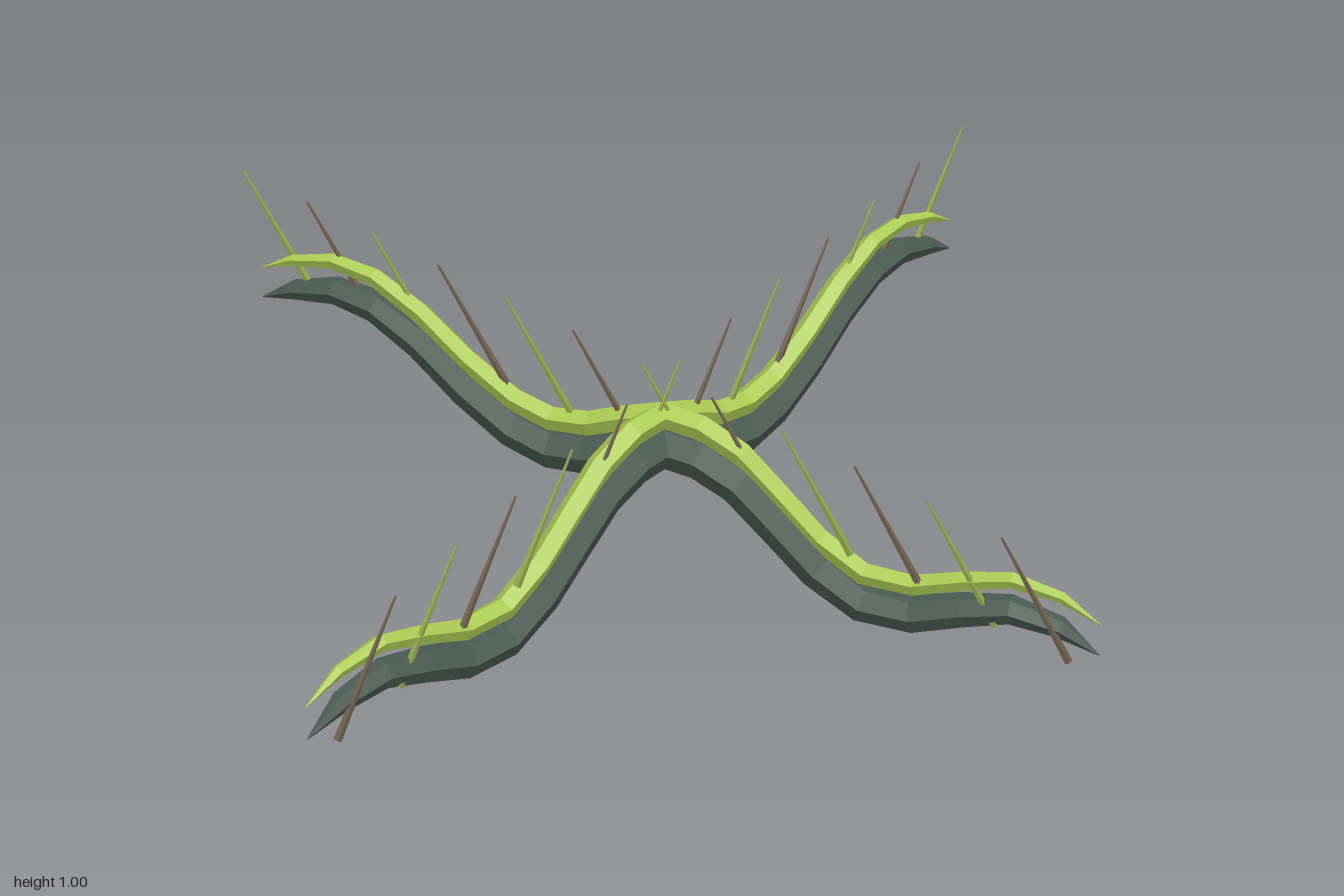
import * as THREE from 'three';

// Spine stations: [x along arm, centre height, relative thickness], front tip to back tip
const STATIONS = [
  [-0.97, 0.03, 0.02], [-0.885, 0.088, 0.45], [-0.78, 0.113, 0.62], [-0.68, 0.088, 0.72],
  [-0.57, 0.05, 0.8], [-0.46, 0.058, 0.86], [-0.36, 0.132, 0.91], [-0.27, 0.235, 0.94],
  [-0.18, 0.335, 0.97], [-0.09, 0.39, 0.99], [0, 0.408, 1], [0.09, 0.38, 0.99],
  [0.17, 0.35, 0.97], [0.26, 0.347, 0.94], [0.35, 0.385, 0.91], [0.46, 0.475, 0.86],
  [0.57, 0.588, 0.8], [0.68, 0.67, 0.72], [0.78, 0.698, 0.62], [0.885, 0.683, 0.45],
  [0.97, 0.648, 0.02],
];

const material = (name, color) => {
  const m = new THREE.MeshStandardMaterial({ color, flatShading: true });
  m.name = name;
  return m;
};

// Tapered faceted sweep along the spine
function sweep(side, lift, sides, startAngle, halfWidth, halfHeight) {
  const pts = STATIONS.map(([x, y]) => new THREE.Vector3(side * x, y + lift, 0.008 - 0.66 * x));
  const pos = [], index = [];
  const up = new THREE.Vector3(0, 1, 0);
  pts.forEach((p, i) => {
    const t = pts[Math.min(i + 1, pts.length - 1)].clone().sub(pts[Math.max(i - 1, 0)]).normalize();
    const s = t.clone().cross(up).normalize();
    const n = s.clone().cross(t);
    const k = STATIONS[i][2];
    for (let j = 0; j < sides; j++) {
      const a = startAngle + (j / sides) * Math.PI * 2;
      const v = p.clone()
        .addScaledVector(s, Math.cos(a) * halfWidth * k)
        .addScaledVector(n, Math.sin(a) * halfHeight * k);
      pos.push(v.x, v.y, v.z);
      if (i < pts.length - 1) {
        const a0 = i * sides + j, b0 = i * sides + (j + 1) % sides;
        index.push(a0, a0 + sides, b0, b0, a0 + sides, b0 + sides);
      }
    }
  });
  const g = new THREE.BufferGeometry();
  g.setAttribute('position', new THREE.Float32BufferAttribute(pos, 3));
  g.setIndex(index);
  const flat = g.toNonIndexed();
  flat.computeVertexNormals();
  return flat;
}

export function createModel() {
  const root = new THREE.Group();
  root.name = 'crossedThornVines';
  const bark = material('dark grey green', 0x4b5b53);
  const leaf = material('bright leaf green', 0xa9c952);
  const thornBrown = material('thorn brown', 0x6b5c4a);
  const thornGreen = material('thorn olive', 0x8ca048);

  const add = (parent, geometry, mat, name) => {
    const mesh = new THREE.Mesh(geometry, mat);
    mesh.name = name;
    parent.add(mesh);
    return mesh;
  };

  for (const side of [1, -1]) {
    const vine = new THREE.Group();
    vine.name = side > 0 ? 'vineRisingToLeft' : 'vineRisingToRight';
    root.add(vine);

    add(vine, sweep(side, 0, 6, 0, 0.06, 0.062), bark, 'stem');
    add(vine, sweep(side, 0.083, 5, Math.PI / 2, 0.042, 0.034), leaf, 'leafRidge');

    // Row of parallel thorns, evenly stepped from front to back
    const lean = new THREE.Vector3(side * 0.16, 0.313, -0.096);
    const length = lean.length();
    const first = new THREE.Vector3(side * -0.74, 0.32, 0.53);
    const last = new THREE.Vector3(side * 0.997, 1.0, -0.65);
    for (let i = 0; i < 12; i++) {
      const tip = first.clone().lerp(last, i / 11);
      const brown = i % 2 === 0;
      const thorn = add(vine, new THREE.CylinderGeometry(0.003, 0.011, length, 5),
        brown ? thornBrown : thornGreen, brown ? 'brownThorn' : 'greenThorn');
      thorn.position.copy(tip).addScaledVector(lean, -0.5);
      thorn.quaternion.setFromUnitVectors(new THREE.Vector3(0, 1, 0), lean.clone().normalize());
    }
  }
  return root;
}
